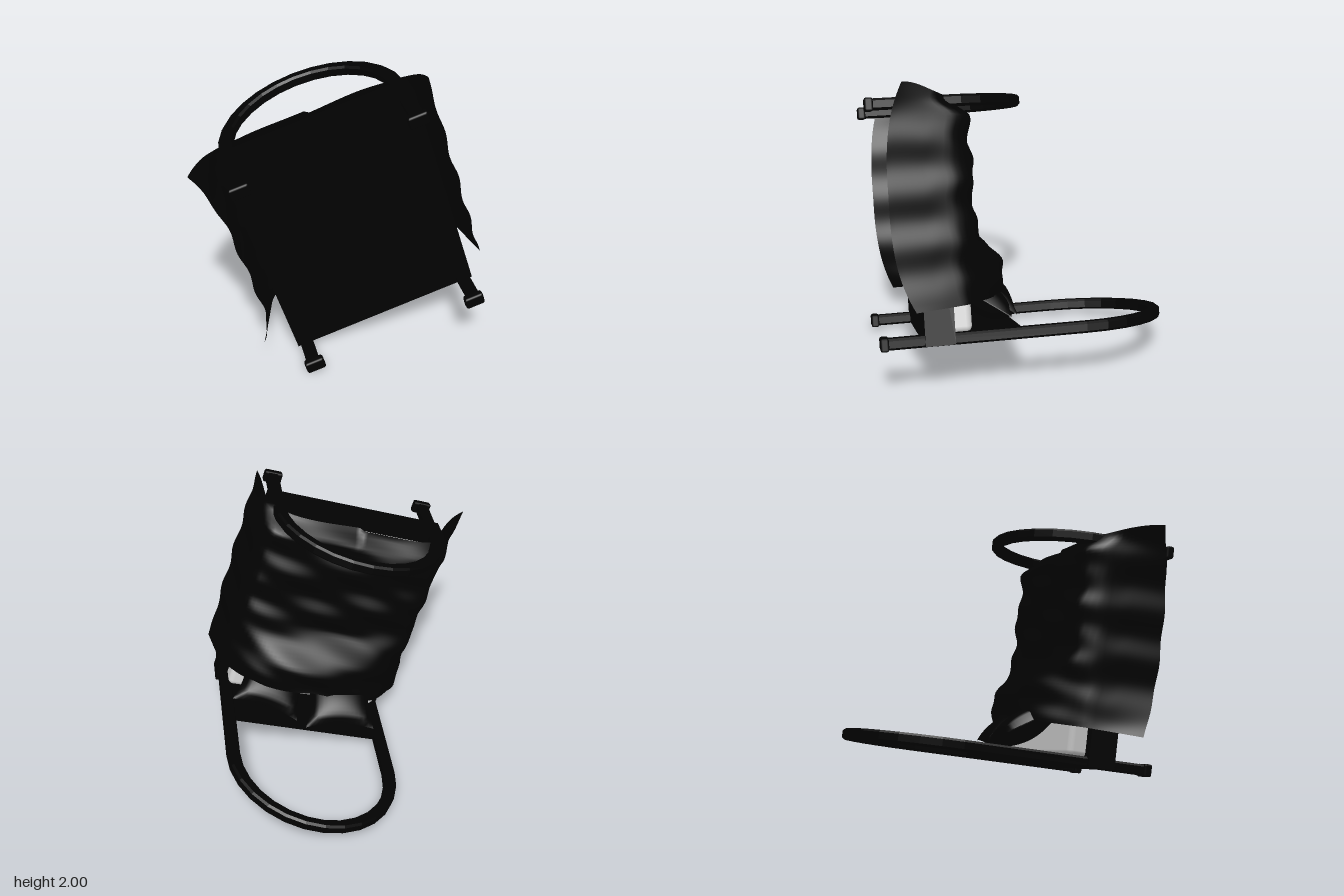
import * as THREE from 'three';
import { RoundedBoxGeometry } from 'three/addons/geometries/RoundedBoxGeometry.js';

const black = new THREE.MeshStandardMaterial({ color: 0x020202, side: THREE.DoubleSide });
black.name = 'black';
const white = new THREE.MeshStandardMaterial({ color: 0xd6d6d6 });
white.name = 'mattressWhite';

const smooth = THREE.MathUtils.smoothstep;
const lerp = THREE.MathUtils.lerp;

function add(parent, name, geometry, material, x = 0, y = 0, z = 0) {
  const mesh = new THREE.Mesh(geometry, material);
  mesh.name = name;
  mesh.position.set(x, y, z);
  parent.add(mesh);
  return mesh;
}

// Move every vertex of a geometry by a rule
function reshape(geometry, rule) {
  const pos = geometry.attributes.position;
  const p = new THREE.Vector3();
  for (let i = 0; i < pos.count; i++) {
    p.fromBufferAttribute(pos, i);
    rule(p);
    pos.setXYZ(i, p.x, p.y, p.z);
  }
  geometry.computeVertexNormals();
  return geometry;
}

// Bent frame: two straight posts joined by an elliptical arch
function hoopGeometry(straight, rise) {
  const steps = 14, bevel = 0.014, outerR = 0.618, innerR = 0.532;
  const arch = (r, h) => Array.from({ length: steps + 1 }, (_, i) => {
    const a = Math.PI * i / steps;
    return new THREE.Vector2(r * Math.cos(a), straight + h * Math.sin(a));
  });
  const outer = arch(outerR - bevel, rise - bevel);
  const inner = arch(innerR + bevel, rise - 0.075 + bevel).reverse();
  const shape = new THREE.Shape([
    new THREE.Vector2(outerR - bevel, 0.02), ...outer, new THREE.Vector2(bevel - outerR, 0.02),
    new THREE.Vector2(-innerR - bevel, 0.02), ...inner, new THREE.Vector2(innerR + bevel, 0.02),
  ]);
  return new THREE.ExtrudeGeometry(shape, {
    depth: 0.045, bevelEnabled: true, bevelThickness: bevel, bevelSize: bevel, bevelSegments: 1,
  }).translate(0, 0, -0.0225);
}

// Cushion with pinched corners and thin seams
function pillowGeometry() {
  return reshape(new THREE.BoxGeometry(2, 2, 2, 14, 14, 1), (p) => {
    const fx = 1 - p.x * p.x, fy = 1 - p.y * p.y;
    const puff = 0.1 * Math.pow(Math.max(fx * fy, 0), 0.45);
    p.set(p.x * 0.25 * (1 - 0.14 * fy), p.y * 0.22 * (1 - 0.14 * fx), p.z * (puff + 0.003));
  });
}

// Blanket: lies on the mattress and hangs down both long sides
function blanketGeometry() {
  return reshape(new THREE.PlaneGeometry(2, 2, 72, 64), (p) => {
    const s = p.x, t = -p.y, a = Math.abs(s), left = s < 0;
    const across = Math.min(a / 0.6, 1);
    const drop = Math.max((a - 0.6) / 0.4, 0);
    const corner = Math.pow(Math.abs(t), 4);
    // lengthwise position, longer toward the hanging corners
    const end = t > 0 ? lerp(0.76, 0.87, smooth(a, 0.45, 1)) : lerp(0.49, 0.55, a);
    const v = t * end + 0.15 * (1 - Math.abs(t));
    // top height: wrinkles, mound beside the pillows, dip at the foot
    let top = 0.665 + 0.012 * Math.sin(17 * v + 5 * s) + 0.008 * Math.sin(31 * v - 9 * s);
    top += 0.19 * smooth(-v, 0.02, 0.34) * (1 - across ** 3);
    top -= (left ? 0.08 : 0.12) * smooth(v, 0.64, 0.77);
    top -= 0.045 * across ** 6;
    const hem = (left ? 0.075 : 0.1) + (left ? 0.11 : 0.125) * Math.pow(Math.abs(t), 3);
    const flare = 0.71 + (left ? 0.02 + 0.1 * corner : 0.025 * corner);
    const folds = 0.01 * Math.sin(13 * t + Math.sign(s)) * (1 - corner) * Math.min(drop * 2, 1);
    const shoulder = 0.05 * Math.sin(Math.PI / 2 * Math.min(drop * 4, 1));
    const u = 0.61 * across + shoulder + (flare - 0.66) * drop + folds;
    p.set(Math.sign(s) * u, lerp(top, hem, drop), v);
  });
}

export function createModel() {
  const model = new THREE.Group();
  model.name = 'bed';

  // Bed is built upright (y up, z toward its foot), then tipped onto its pose
  const bed = new THREE.Group();
  bed.name = 'bedAssembly';
  const tilt = Math.atan2(0.35, 1.075);
  const c = Math.cos(tilt), s = Math.sin(tilt);
  const pose = new THREE.Matrix4().makeBasis(
    new THREE.Vector3(c, s, 0), new THREE.Vector3(0, 0, -1), new THREE.Vector3(-s, c, 0));
  pose.multiply(new THREE.Matrix4().makeRotationZ(-0.028));
  pose.setPosition(0.065, 0.9475, 0.968);
  pose.decompose(bed.position, bed.quaternion, bed.scale);
  model.add(bed);

  // Frame
  add(bed, 'bedBase', new THREE.BoxGeometry(1.28, 0.19, 1.555), black, 0, 0.37, 0);
  add(bed, 'headPanel', new THREE.BoxGeometry(1.2, 0.64, 0.05), black, 0, 0.595, -0.752);
  add(bed, 'headHoop', hoopGeometry(1.315, 0.642), black, 0, 0, -0.748);
  add(bed, 'footHoop', hoopGeometry(0.465, 0.603), black, 0, 0, 0.748);
  for (const x of [-0.57, 0.57]) {
    for (const z of [-0.748, 0.748]) {
      add(bed, 'footCap', new RoundedBoxGeometry(0.13, 0.055, 0.085, 1, 0.014), black, x, 0.022, z);
    }
  }

  // Bedding
  add(bed, 'mattress', new RoundedBoxGeometry(1.14, 0.16, 1.42, 3, 0.04), white, 0, 0.505, -0.01);
  const leftPillow = add(bed, 'pillow', pillowGeometry(), black, -0.22, 0.79, -0.55);
  leftPillow.rotation.set(-0.55, 0.18, 0.06);
  const rightPillow = add(bed, 'pillow', pillowGeometry(), black, 0.28, 0.7, -0.55);
  rightPillow.rotation.set(-0.6, 0, -0.2);
  add(bed, 'blanket', blanketGeometry(), black);

  return model;
}
